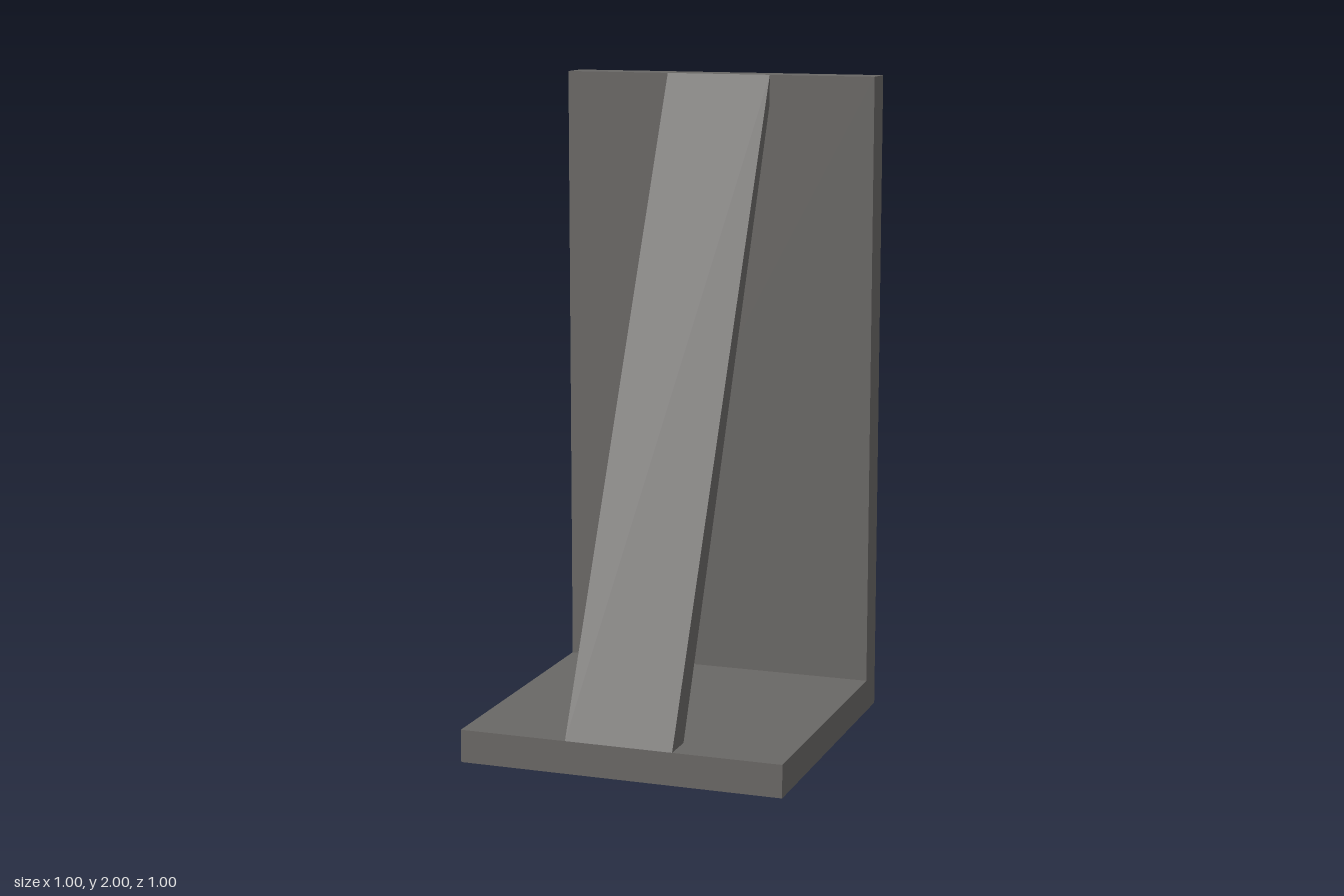
import * as THREE from 'three';

const material = new THREE.MeshStandardMaterial({ color: 0x696765, flatShading: true });

// Extrudes a side profile of [z, y] points across x, centred on x = 0
function sidePart(name, points, width) {
  const shape = new THREE.Shape(points.map(([z, y]) => new THREE.Vector2(z, y)));
  const geometry = new THREE.ExtrudeGeometry(shape, { depth: width, bevelEnabled: false });
  geometry.translate(0, 0, -width / 2);
  geometry.rotateY(-Math.PI / 2);
  const mesh = new THREE.Mesh(geometry, material);
  mesh.name = name;
  return mesh;
}

export function createModel() {
  const model = new THREE.Group();
  model.name = 'angleBracket';

  // Base plate and upright back plate in one L-shaped profile
  model.add(sidePart('basePlateAndBackPlate', [
    [-0.5, 0], [0.5, 0], [0.5, 0.1], [-0.4, 0.1], [-0.4, 2], [-0.5, 2],
  ], 1));

  // Diagonal brace from the front of the base to the top of the back plate
  model.add(sidePart('diagonalBrace', [
    [0.4, 0.1], [0.5, 0.1], [-0.4, 2], [-0.4, 1.91],
  ], 1 / 3));

  return model;
}
